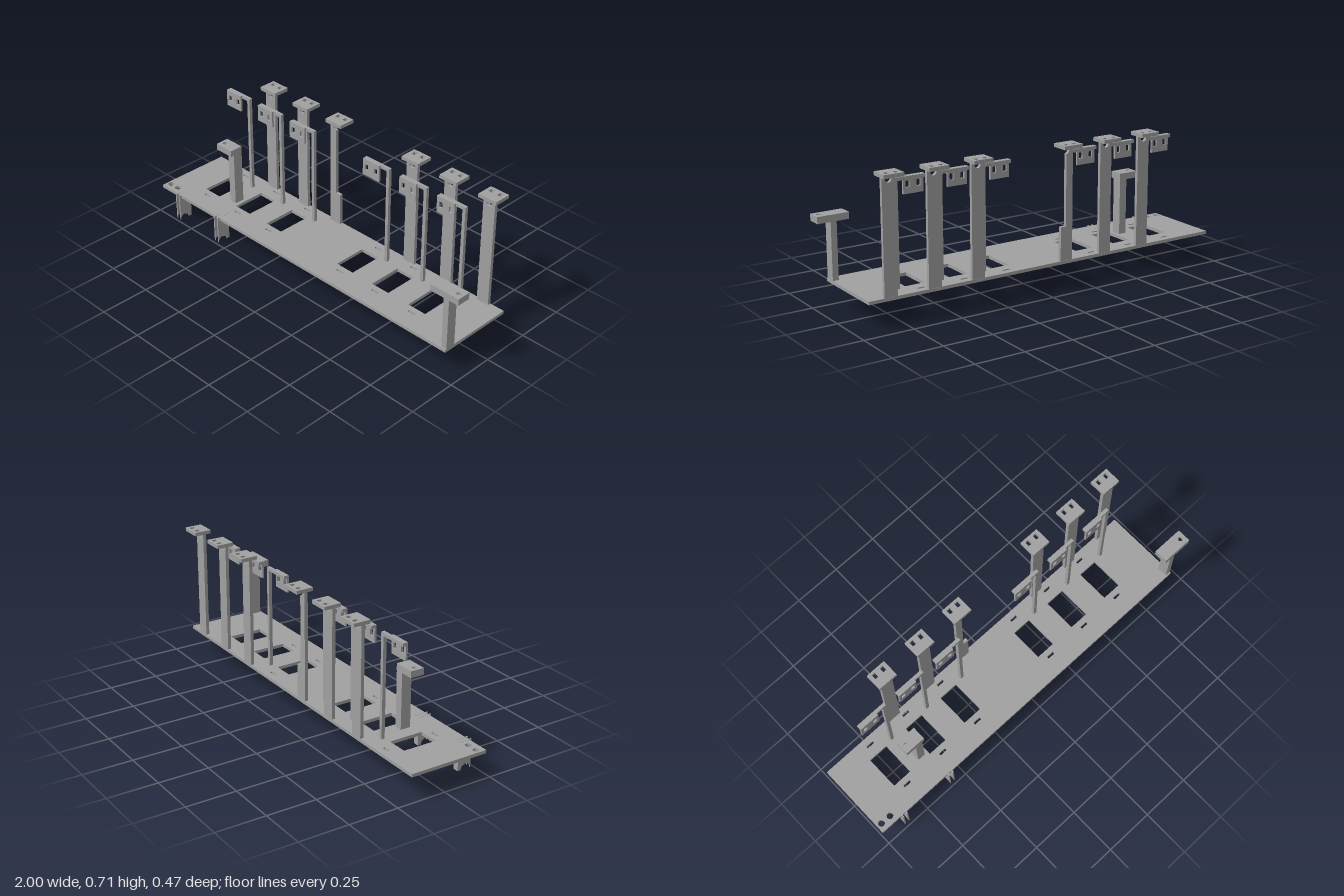
import * as THREE from 'three';

const steel = new THREE.MeshStandardMaterial({ color: 0xa0a0a0 });
steel.name = 'steelGrey';

// Closed rectangle and circle outlines
function rect(x0, y0, x1, y1, Type = THREE.Path) {
  const p = new Type();
  p.moveTo(x0, y0);
  p.lineTo(x1, y0);
  p.lineTo(x1, y1);
  p.lineTo(x0, y1);
  p.closePath();
  return p;
}
function circle(x, y, r) {
  return new THREE.Path().absarc(x, y, r, 0, Math.PI * 2, true);
}

function add(parent, name, geometry) {
  const mesh = new THREE.Mesh(geometry, steel);
  mesh.name = name;
  parent.add(mesh);
  return mesh;
}
function extrude(shape, depth) {
  return new THREE.ExtrudeGeometry(shape, { depth, bevelEnabled: false, curveSegments: 16 });
}
function box(parent, name, x0, x1, y0, y1, z0, z1) {
  const g = new THREE.BoxGeometry(x1 - x0, y1 - y0, z1 - z0);
  g.translate((x0 + x1) / 2, (y0 + y1) / 2, (z0 + z1) / 2);
  return add(parent, name, g);
}
// Horizontal sheet: shape drawn in (x, -z)
function sheet(parent, name, shape, y0, y1) {
  return add(parent, name, extrude(shape, y1 - y0).rotateX(-Math.PI / 2).translate(0, y0, 0));
}
// Upright sheet: shape drawn in (x, y)
function wall(parent, name, shape, z0, z1) {
  return add(parent, name, extrude(shape, z1 - z0).translate(0, 0, z0));
}
// Side sheet: shape drawn in (z, y)
function side(parent, name, shape, x0, x1) {
  return add(parent, name, extrude(shape, x1 - x0).rotateY(-Math.PI / 2).translate(x1, 0, 0));
}
function group(parent, name) {
  const g = new THREE.Group();
  g.name = name;
  parent.add(g);
  return g;
}

const TOP = 0.142;
const UNITS = [-0.81, -0.581, -0.354, 0.138, 0.367, 0.595];

function buildBase(root) {
  const s = rect(-1, -0.222, 0.934, 0.18, THREE.Shape);
  for (const x of UNITS) {
    s.holes.push(rect(x, -0.09, x + 0.103, 0.083));
    for (const z of [-0.14, 0.125]) s.holes.push(rect(x + 0.032, -z - 0.006, x + 0.072, -z + 0.006));
  }
  for (const x of [-0.975, -0.922]) s.holes.push(circle(x, -0.185, 0.016));
  sheet(root, 'basePlate', s, 0.126, TOP);
}

// Rear post with a slotted cap; the narrow version has a wide foot
function buildPost(root, x, narrow) {
  const g = group(root, 'rearPost');
  const w = 0.033, top = 0.695;
  let s;
  if (narrow) {
    s = new THREE.Shape();
    s.moveTo(x - w, TOP);
    s.lineTo(x + w, TOP);
    s.lineTo(x + w, 0.31);
    s.lineTo(x + 0.004, 0.31);
    s.lineTo(x + 0.004, 0.662);
    s.absarc(x + 0.004, 0.678, 0.016, -Math.PI / 2, Math.PI / 2, true);
    s.lineTo(x + 0.004, top);
    s.lineTo(x - w, top);
    s.closePath();
  } else {
    s = rect(x - w, TOP, x + w, top, THREE.Shape);
    s.holes.push(circle(x, 0.678, 0.016));
  }
  wall(g, 'post', s, -0.179, -0.162);
  const cap = rect(x - 0.051, 0.145, x + 0.051, 0.232, THREE.Shape);
  for (const d of [-0.024, 0.024]) cap.holes.push(rect(x + d - 0.01, 0.194, x + d + 0.01, 0.219));
  sheet(g, 'postCap', cap, top, 0.713);
}

// Thin rod with an arm carrying a two-window plate
function buildHanger(root, x) {
  const g = group(root, 'hanger');
  box(g, 'rod', x + 0.14, x + 0.157, TOP, 0.64, -0.104, -0.087);
  box(g, 'arm', x, x + 0.157, 0.64, 0.656, -0.104, -0.087);
  const s = rect(x, 0.57, x + 0.103, 0.656, THREE.Shape);
  for (const d of [0.024, 0.081]) s.holes.push(rect(x + d - 0.01, 0.6, x + d + 0.01, 0.63));
  wall(g, 'hangerPlate', s, -0.087, -0.077);
}

// Front bracket: post with a hollow cap
function buildBracket(root, x0, x1, post0, post1, z0, holeX, holeZ) {
  const g = group(root, 'frontBracket');
  const z1 = z0 + 0.07, t = 0.01;
  box(g, 'bracketPost', post0, post1, TOP, 0.444, z0, z0 + 0.052);
  const lid = rect(x0, -z1, x1, -z0, THREE.Shape);
  lid.holes.push(circle(holeX, -holeZ, 0.011));
  sheet(g, 'bracketLid', lid, 0.444, 0.455);
  const rim = rect(x0, -z1, x1, -z0, THREE.Shape);
  rim.holes.push(rect(x0 + t, -z1 + t, x1 - t, -z0 - t));
  sheet(g, 'bracketRim', rim, 0.422, 0.444);
}

// Channel-shaped foot with a round notch at the bottom of each cheek
function buildFoot(root, x0, x1) {
  const g = group(root, 'foot');
  const cheek = new THREE.Shape();
  cheek.moveTo(0.163, 0);
  cheek.lineTo(0.18, 0);
  cheek.absarc(0.207, 0, 0.027, Math.PI, 0, true);
  cheek.lineTo(0.234, TOP + 0.001);
  cheek.lineTo(0.163, TOP + 0.001);
  cheek.closePath();
  side(g, 'footCheek', cheek, x0, x0 + 0.007);
  side(g, 'footCheek', cheek, x1 - 0.007, x1);
  const web = rect(x0 + 0.007, 0, x1 - 0.007, 0.126, THREE.Shape);
  web.holes.push(rect(x0 + 0.009, 0.047, x1 - 0.009, 0.063));
  wall(g, 'footWeb', web, 0.163, 0.173);
}

export function createModel() {
  const root = new THREE.Group();
  root.name = 'mountingFrame';
  buildBase(root);
  for (const x of [-0.58, -0.353, -0.126, 0.367, 0.596, 0.822]) buildPost(root, x, x === -0.126);
  for (const x of UNITS) buildHanger(root, x);
  buildBracket(root, -0.705, -0.599, -0.64, -0.6, 0.023, -0.68, 0.06);
  buildBracket(root, 0.841, 1, 0.904, 0.934, 0.163, 0.973, 0.2);
  buildFoot(root, -0.882, -0.851);
  buildFoot(root, -0.588, -0.557);
  return root;
}
